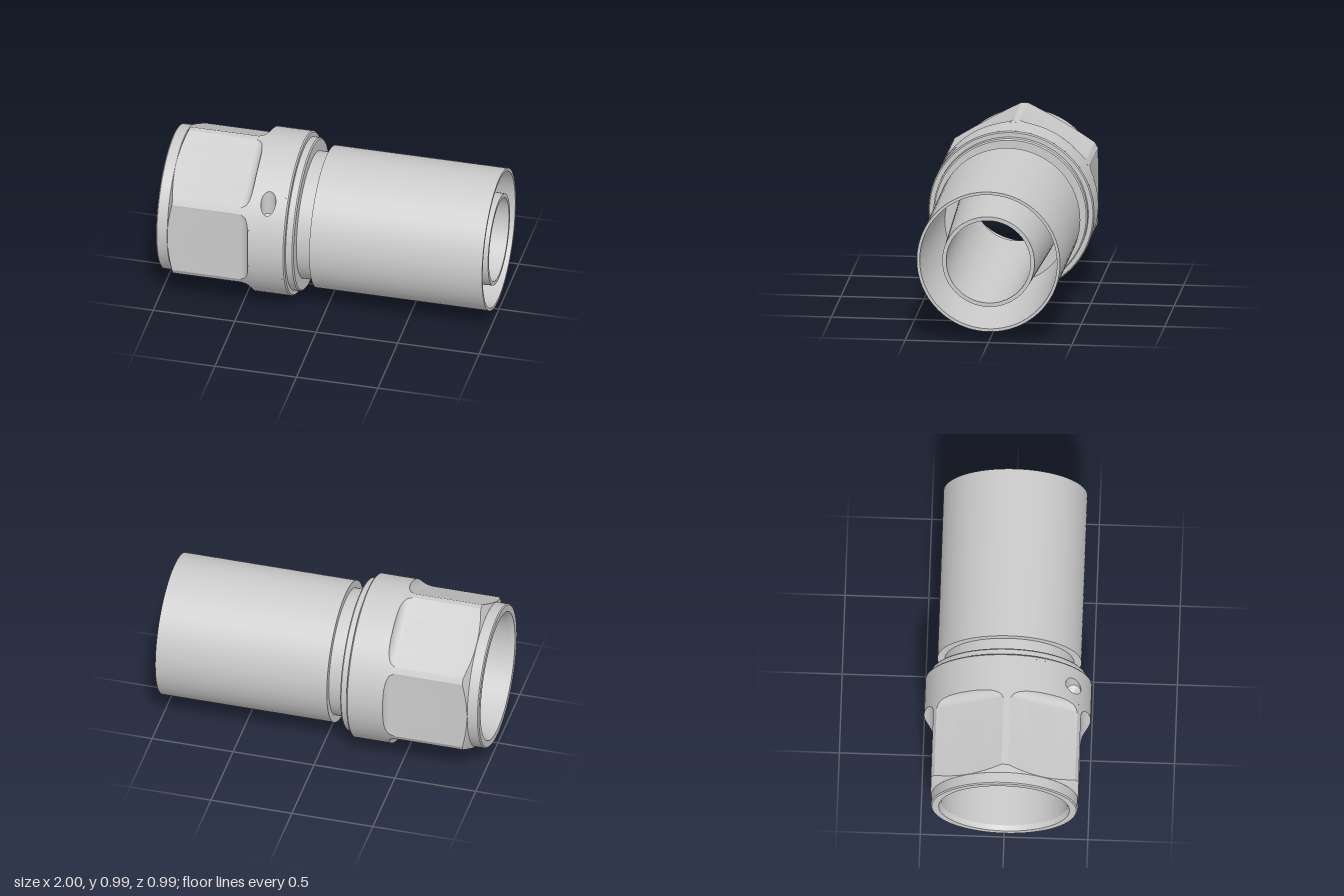
import * as THREE from 'three';
import { toCreasedNormals } from 'three/addons/utils/BufferGeometryUtils.js';

const R = 0.497;      // collar radius
const FLAT = 0.44;    // hexagon apothem
const HOLE = { x: -0.32, z: 0.39, r: 0.045, spanX: 0.1, spanA: 0.22 };
HOLE.angle = Math.acos(HOLE.z / R);

const material = new THREE.MeshStandardMaterial({ color: 0xcccccc, side: THREE.DoubleSide });

function addMesh(group, name, geometry) {
  const mesh = new THREE.Mesh(toCreasedNormals(geometry, 0.35), material);
  mesh.name = name;
  group.add(mesh);
}

// Turned part along x; profile is a list of [x, radius]
function turned(profile, phiStart = 0, phiLength = Math.PI * 2) {
  const points = profile.map(([x, r]) => new THREE.Vector2(r, x));
  return new THREE.LatheGeometry(points, 96, phiStart, phiLength).rotateZ(-Math.PI / 2);
}

// Surface skinned over columns of points
function skin(columns) {
  const n = columns[0].length;
  const index = [];
  for (let i = 0; i < columns.length - 1; i++) {
    for (let j = 0; j < n - 1; j++) {
      const a = i * n + j, b = a + n;
      index.push(a, b, a + 1, b + 1, a + 1, b);
    }
  }
  const geometry = new THREE.BufferGeometry();
  geometry.setAttribute('position', new THREE.Float32BufferAttribute(columns.flat(2), 3));
  geometry.setIndex(index);
  return geometry;
}

// Point around the axis; angle 0 faces the front
const around = (x, r, a) => [x, r * Math.sin(a), r * Math.cos(a)];

// Hexagon with clipped corners, chamfered front and filleted run-out into the collar
function hexGeometry() {
  const half = Math.acos(FLAT / R);
  const fillet = R - FLAT;
  const offsets = [-Math.PI / 6];
  for (let k = 0; k <= 28; k++) offsets.push(-half + (2 * half * k) / 28);

  const column = (sector, d) => {
    const a = -(sector * Math.PI / 3 + d);
    const c = Math.cos(d);
    const r = Math.min(R, FLAT / c);
    const points = [around(-0.93, 0.437, a), around(-0.93 + (r - 0.437) * 0.5, r, a)];
    const end = Math.acos(Math.min(1, (R - Math.min(R, R * c)) / fillet));
    for (let k = 0; k <= 8; k++) {
      const phi = Math.abs(d) >= half - 1e-6 ? 0 : (end * k) / 8;
      const rr = Math.min(R, (R - fillet * Math.cos(phi)) / c);
      points.push(around(-0.48 + fillet * Math.sin(phi), rr, a));
    }
    points.push(around(-0.42, R, a));
    return points;
  };

  const columns = [];
  for (let s = 0; s < 6; s++) offsets.forEach(d => columns.push(column(s, d)));
  columns.push(column(6, -Math.PI / 6));
  return skin(columns);
}

// Collar patch with a blind hole drilled straight down
function drilledPatch() {
  const columns = [];
  for (let i = 0; i <= 48; i++) {
    const u = (i / 48) * Math.PI * 2;
    const c = Math.cos(u), s = Math.sin(u);
    const x = HOLE.x + HOLE.r * c, z = HOLE.z + HOLE.r * s;
    const points = [[HOLE.x, 0.17, HOLE.z], [x, 0.2, z]];
    const m = Math.max(Math.abs(c), Math.abs(s));
    const edgeX = HOLE.x + (HOLE.spanX * c) / m;
    const edgeA = HOLE.angle - (HOLE.spanA * s) / m;
    const rimA = Math.acos(z / R);
    for (let k = 0; k <= 5; k++) {
      const t = k / 5;
      points.push(around(x + (edgeX - x) * t, R, rimA + (edgeA - rimA) * t));
    }
    columns.push(points);
  }
  return skin(columns);
}

export function createModel() {
  const group = new THREE.Group();
  group.name = 'hoseFitting';

  // Swivel nut: mouth and bore, hexagon, drilled collar, rear lip
  addMesh(group, 'nutMouth', turned([
    [-0.62, 0.375], [-0.97, 0.375], [-1, 0.39], [-1, 0.43], [-0.993, 0.437], [-0.93, 0.437],
  ]));
  addMesh(group, 'nutHexagon', hexGeometry());
  addMesh(group, 'nutCollar', turned([[-0.42, R], [-0.22, R]],
    -HOLE.angle + HOLE.spanA, Math.PI * 2 - 2 * HOLE.spanA));
  addMesh(group, 'drilledHole', drilledPatch());
  addMesh(group, 'nutLip', turned([
    [-0.22, R], [-0.205, R], [-0.197, 0.49], [-0.197, 0.463],
    [-0.158, 0.463], [-0.15, 0.455], [-0.15, 0.385],
  ]));

  // Neck and crimp sleeve with tapered inside
  addMesh(group, 'neck', turned([[-0.15, 0.385], [-0.06, 0.385]]));
  addMesh(group, 'sleeve', turned([
    [-0.06, 0.385], [-0.06, 0.43], [1, 0.43], [1, 0.412], [0.05, 0.37], [0.05, 0.31],
  ]));

  // Inner tube: tapered outside, straight bore, conical seat inside the nut
  addMesh(group, 'innerTube', turned([
    [0.05, 0.31], [1, 0.277], [1, 0.253], [-0.5, 0.253], [-0.62, 0.32], [-0.62, 0.375],
  ]));

  group.children.forEach(part => { part.position.y = R; });
  return group;
}
